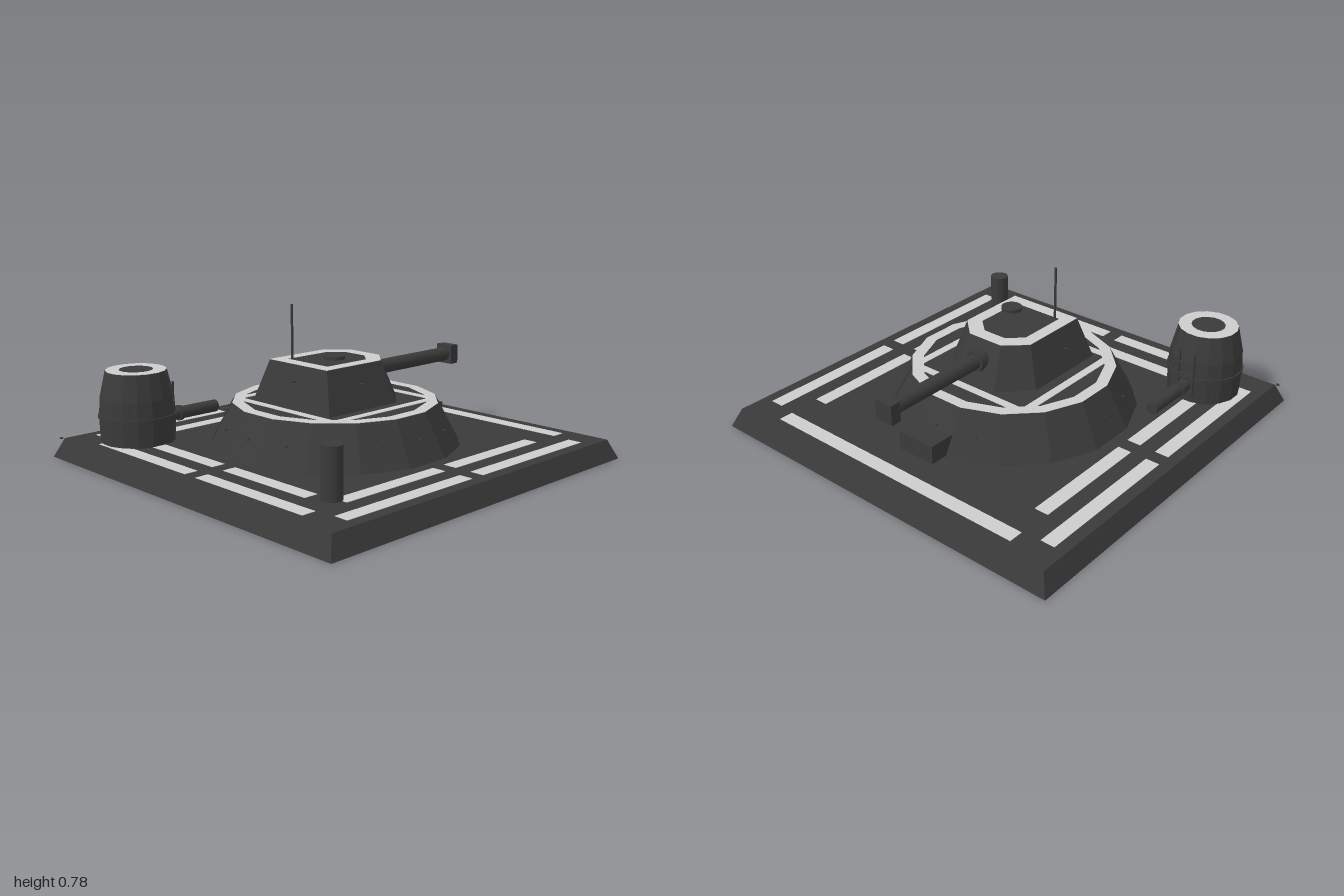
import * as THREE from 'three';

const mat = (name, color, side = THREE.FrontSide) => {
  const m = new THREE.MeshStandardMaterial({ color, side });
  m.name = name;
  return m;
};

export function createModel() {
  const model = new THREE.Group();
  model.name = 'turretEmplacement';
  const armour = mat('darkArmour', 0x3a3a3a, THREE.DoubleSide);
  const paint = mat('lightPaint', 0xcccccc);

  const add = (name, geo, material, x = 0, y = 0, z = 0, parent = model) => {
    const mesh = new THREE.Mesh(geo, material);
    mesh.name = name;
    mesh.position.set(x, y, z);
    parent.add(mesh);
    return mesh;
  };
  const box = (w, h, d) => new THREE.BoxGeometry(w, h, d);
  const cyl = (r, h, n = 20) => new THREE.CylinderGeometry(r, r, h, n);
  const rod = (r, len, n = 16) => cyl(r, len, n).rotateZ(Math.PI / 2);
  // Regular polygon with a flat side facing each axis, given its apothem
  const polygon = (apothem, n) => Array.from({ length: n }, (_, i) => {
    const a = ((i + 0.5) / n) * Math.PI * 2, r = apothem / Math.cos(Math.PI / n);
    return [r * Math.cos(a), r * Math.sin(a)];
  });
  // Faceted shell, open below, through matching [x, z] outlines at their own heights
  const loft = (layers) => {
    const v = [];
    const n = layers[0][0].length;
    const p = (k, i) => {
      const [pts, y] = layers[k];
      return [pts[i % n][0], y, pts[i % n][1]];
    };
    const last = layers.length - 1;
    for (let i = 0; i < n; i++) {
      for (let k = 0; k < last; k++) {
        v.push(...p(k, i), ...p(k + 1, i), ...p(k + 1, i + 1));
        v.push(...p(k, i), ...p(k + 1, i + 1), ...p(k, i + 1));
      }
      if (i > 0 && i < n - 1) v.push(...p(last, 0), ...p(last, i + 1), ...p(last, i));
    }
    const g = new THREE.BufferGeometry();
    g.setAttribute('position', new THREE.Float32BufferAttribute(v, 3));
    g.computeVertexNormals();
    return g;
  };
  // Thin painted ring between two outlines
  const ring = (outer, inner) => {
    const vec = (pts) => pts.map(([x, z]) => new THREE.Vector2(x, -z));
    const shape = new THREE.Shape(vec(outer));
    shape.holes.push(new THREE.Path(vec(inner)));
    return new THREE.ExtrudeGeometry(shape, { depth: 0.003, bevelEnabled: false }).rotateX(-Math.PI / 2);
  };
  // Thin strip lying on a slope that runs from radius r0 to r1
  const slopeStrip = (name, r0, y0, r1, y1, width, parent) => {
    const strip = box(0.008, Math.hypot(r1 - r0, y1 - y0), width);
    add(name, strip, armour, (r0 + r1) / 2, (y0 + y1) / 2, 0, parent)
      .rotation.z = Math.atan2(r0 - r1, y1 - y0);
  };
  // Group turned to face one side of a round part
  const turned = (name, angle, parent) => {
    const g = new THREE.Group();
    g.name = name;
    g.rotation.y = angle;
    parent.add(g);
    return g;
  };

  // Square base plate with sloping edges, hollow underneath
  const deck = 0.097;
  add('basePlate', loft([[polygon(1, 4), 0], [polygon(0.957, 4), deck]]), armour);
  add('cornerBolt', cyl(0.01, 0.004, 8), armour, -0.968, deck, -0.968);

  // Painted deck stripes
  const stripe = (x0, x1, z0, z1) =>
    add('deckStripe', box(x1 - x0, 0.002, z1 - z0), paint, (x0 + x1) / 2, deck + 0.0012, (z0 + z1) / 2);
  for (const s of [-1, 1]) {
    for (const [z, len] of [[0.863, 0.813], [0.708, 0.66]]) {
      stripe(-len, -0.038, s * z - 0.036, s * z + 0.036);
      stripe(0.038, len, s * z - 0.036, s * z + 0.036);
    }
    for (const [x, len] of [[-0.863, 0.733], [-0.708, 0.58]]) {
      stripe(x - 0.036, x + 0.036, Math.min(s * 0.038, s * len), Math.max(s * 0.038, s * len));
    }
  }
  stripe(0.824, 0.898, -0.735, 0.735);

  // Sixteen-sided mound with ribs and rivets
  add('mound', loft([[polygon(0.61, 16), deck], [polygon(0.5, 16), 0.304]]), armour);
  add('moundRing', ring(polygon(0.5, 16), polygon(0.443, 16)), paint, 0, 0.303, 0);
  for (const s of [-1, 1]) {
    add('moundBar', box(0.68, 0.003, 0.042), paint, 0, 0.305, s * 0.343);
    add('moundBar', box(0.042, 0.003, 0.68), paint, s * 0.343, 0.305, 0);
  }
  for (let i = 0; i < 16; i++) {
    const side = turned('moundSide', (i / 16) * Math.PI * 2, model);
    if (i % 4 === 2) slopeStrip('moundRib', 0.61, 0.1, 0.503, 0.301, 0.026, side);
    else add('moundRivet', rod(0.005, 0.024, 8), armour, 0.557, 0.2, 0, side);
  }

  // Wedge-nosed gun turret
  const outline = (back, front, half, shoulder, nose) => [
    [front, -nose], [front, nose], [shoulder, half], [back, half], [back, -half], [shoulder, -half],
  ];
  const roof = outline(-0.25, 0.21, 0.2, 0.115, 0.098);
  add('turret', loft([[outline(-0.3, 0.3, 0.27, 0.155, 0.128), 0.3], [roof, 0.508]]), armour);
  add('turretRoofRing', ring(roof, outline(-0.185, 0.142, 0.137, 0.075, 0.062)), paint, 0, 0.507, 0);
  for (const s of [-1, 1]) {
    add('turretRivet', rod(0.005, 0.024, 8).rotateY(Math.PI / 2), armour, -0.08, 0.43, s * 0.267);
  }
  add('turretRivet', rod(0.005, 0.024, 8), armour, -0.275, 0.43, 0);

  // Hatch and aerial
  add('hatchLid', cyl(0.052, 0.016), armour, -0.09, 0.537, 0.087);
  add('aerial', cyl(0.006, 0.28, 8), armour, -0.18, 0.64, -0.115);

  // Main gun
  add('gunCollar', rod(0.054, 0.055, 8), armour, 0.262, 0.42, 0);
  add('gunBarrel', rod(0.037, 0.62), armour, 0.54, 0.42, 0);
  add('gunMuzzle', box(0.055, 0.1, 0.1), armour, 0.857, 0.42, 0);

  // Equipment box and post on the deck
  add('equipmentBox', box(0.14, 0.1, 0.208), armour, 0.63, 0.14, 0);
  add('deckPost', cyl(0.048, 0.238), armour, -0.677, 0.218, 0.673);

  // Corner tower with its band, seams, small gun and ladder
  const tower = new THREE.Group();
  tower.name = 'cornerTower';
  tower.position.set(-0.705, 0, -0.68);
  model.add(tower);
  add('towerBody', loft([[0.18, deck], [0.184, 0.22], [0.178, 0.32], [0.147, 0.452]]
    .map(([r, y]) => [polygon(r, 16), y])), armour, 0, 0, 0, tower);
  add('towerBand', cyl(0.192, 0.018, 24), armour, 0, 0.228, 0, tower);
  add('towerRoofRing', ring(polygon(0.147, 16), polygon(0.083, 16)), paint, 0, 0.451, 0, tower);
  for (let i = 0; i < 4; i++) {
    const side = turned('towerSeam', (i + 0.5) * Math.PI / 2, tower);
    slopeStrip('lowerSeam', 0.182, 0.1, 0.179, 0.32, 0.016, side);
    slopeStrip('upperSeam', 0.179, 0.32, 0.148, 0.45, 0.016, side);
  }
  add('towerGunBarrel', rod(0.032, 0.33), armour, 0.32, 0.19, 0, tower);
  add('towerGunCollar', rod(0.04, 0.018), armour, 0.25, 0.19, 0, tower);
  for (const z of [-0.042, 0.042]) {
    add('ladderRail', box(0.01, 0.22, 0.008), armour, 0.186, 0.26, z, tower);
  }
  for (const y of [0.25, 0.31]) {
    add('ladderRung', box(0.01, 0.008, 0.08), armour, 0.186, y, 0, tower);
  }
  return model;
}
